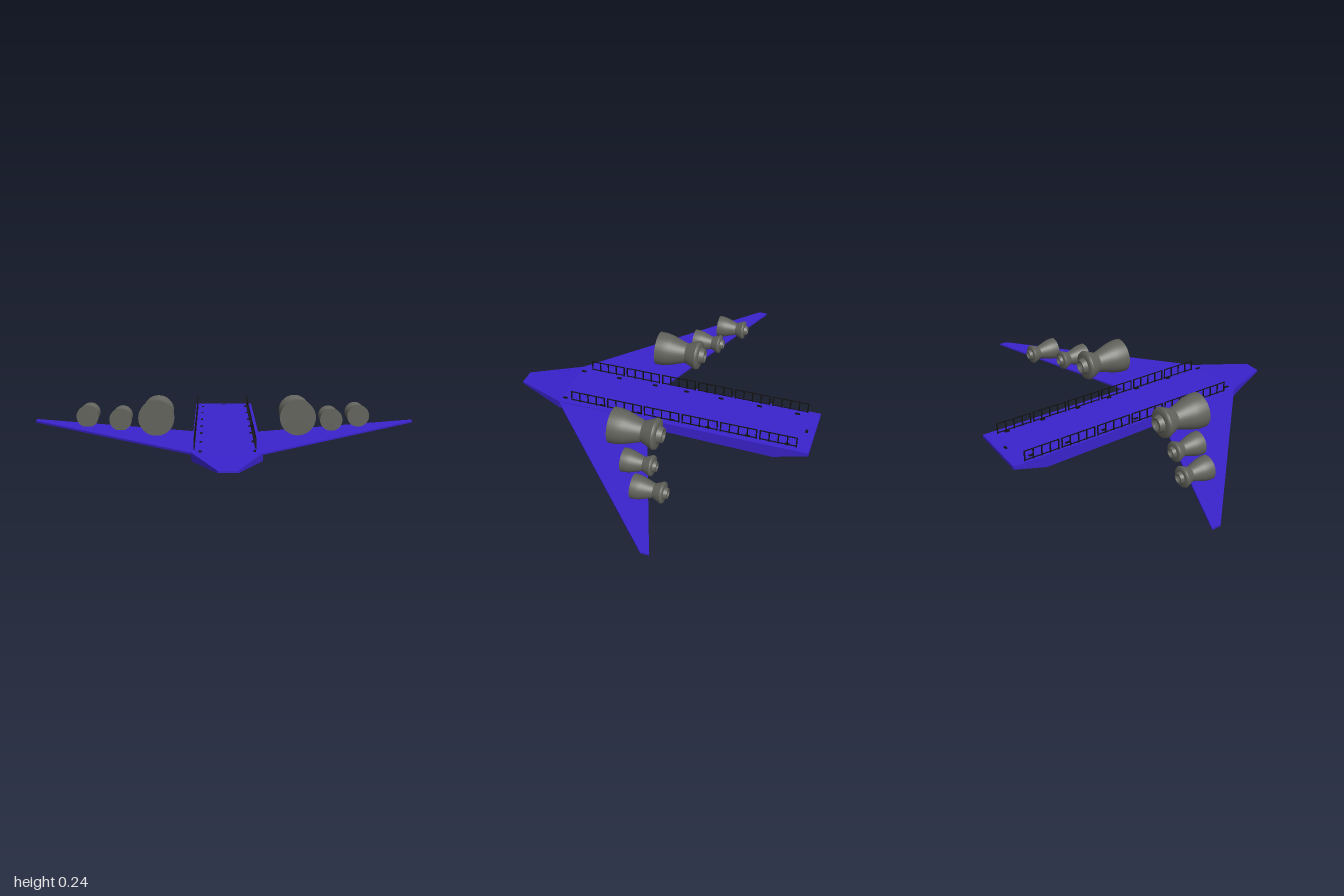
import * as THREE from 'three';

const blue = new THREE.MeshStandardMaterial({ color: 0x3a22cc });
const grey = new THREE.MeshStandardMaterial({ color: 0x62625c });
const black = new THREE.MeshStandardMaterial({ color: 0x111111 });

function add(parent, name, geometry, material, x = 0, y = 0, z = 0) {
  const mesh = new THREE.Mesh(geometry, material);
  mesh.name = name;
  mesh.position.set(x, y, z);
  parent.add(mesh);
  return mesh;
}

// Faceted hull lofted front to back through [z, x0, x1, y0, y1] rectangles
function loftGeometry(sections) {
  const rings = sections.map(([z, x0, x1, y0, y1]) =>
    [[x0, y0, z], [x1, y0, z], [x1, y1, z], [x0, y1, z]]);
  const pos = [];
  const quad = (a, b, c, d) => pos.push(...a, ...b, ...c, ...a, ...c, ...d);
  for (let s = 0; s < rings.length - 1; s++) {
    for (let i = 0; i < 4; i++) {
      const j = (i + 1) % 4;
      quad(rings[s][i], rings[s + 1][i], rings[s + 1][j], rings[s][j]);
    }
  }
  quad(...rings[0]);
  quad(...rings[rings.length - 1].slice().reverse());
  const g = new THREE.BufferGeometry();
  g.setAttribute('position', new THREE.Float32BufferAttribute(pos, 3));
  g.computeVertexNormals();
  return g;
}

// Thin swept wing from an [x, z] outline
function wingGeometry(outline, thickness) {
  const shape = new THREE.Shape(outline.map(([x, z]) => new THREE.Vector2(x, -z)));
  return new THREE.ExtrudeGeometry(shape, { depth: thickness, bevelEnabled: false })
    .rotateX(-Math.PI / 2);
}

// Waisted engine: [radius, distance behind the face], each band with its own sharp edges
const engineBands = [
  [[0, 0], [0.088, 0]],
  [[0.088, 0], [0.087, 0.035], [0.08, 0.07], [0.052, 0.155]],
  [[0.052, 0.155], [0.078, 0.215]],
  [[0.078, 0.215], [0.072, 0.229], [0.044, 0.23]],
  [[0.044, 0.23], [0.036, 0.255]],
  [[0.036, 0.255], [0.026, 0.255], [0.022, 0.235], [0, 0.235]],
];
function makeEngine(x, y, z, scale) {
  const engine = new THREE.Group();
  engine.name = 'engine';
  const names = ['face', 'body', 'flare', 'shoulder', 'nozzle', 'nozzleMouth'];
  engineBands.forEach((band, i) => {
    const g = new THREE.LatheGeometry(band.map(([r, d]) => new THREE.Vector2(r, d)), 32);
    g.rotateX(-Math.PI / 2);
    add(engine, names[i], g, engineMaterial);
  });
  engine.position.set(x, y, z);
  engine.scale.setScalar(scale);
  return engine;
}
const engineMaterial = grey.clone();
engineMaterial.side = THREE.DoubleSide;

// Railing in six panels of five posts
function makeRailing(x) {
  const railing = new THREE.Group();
  railing.name = 'railing';
  for (let k = 0; k < 6; k++) {
    const front = 0.45 - k * 0.1955;
    for (let j = 0; j < 5; j++) {
      add(railing, 'post', new THREE.BoxGeometry(0.004, 0.055, 0.006), black, x, 0.0925, front - j * 0.0445);
    }
    for (const y of [0.071, 0.12]) {
      add(railing, 'rail', new THREE.BoxGeometry(0.004, 0.004, 0.184), black, x, y, front - 0.089);
    }
  }
  return railing;
}

export function createModel() {
  const model = new THREE.Group();
  model.name = 'flyingDeck';

  // Hull with tapered nose and raked stern
  add(model, 'hull', loftGeometry([
    [0.77, -0.04, 0.048, 0.038, 0.048],
    [0.51, -0.157, 0.165, 0.027, 0.066],
    [-0.6, -0.157, 0.165, 0, 0.066],
    [-0.77, -0.157, 0.165, 0.05, 0.066],
  ]), blue);

  // Swept wings
  add(model, 'leftWing', wingGeometry(
    [[0.1, 0.02], [0.1, 0.51], [0.165, 0.51], [1, -0.23], [1, -0.27], [0.165, 0.035]], 0.008), blue, 0, 0.055, 0);
  add(model, 'rightWing', wingGeometry(
    [[-0.1, 0.02], [-0.157, 0.035], [-1, -0.295], [-1, -0.25], [-0.157, 0.51], [-0.1, 0.51]], 0.01), blue, 0, 0.056, 0);

  // Engines resting on the wings: x, y, front z, scale
  for (const e of [
    [0.355, 0.153, 0.14, 1], [0.535, 0.118, -0.015 + 0.033, 0.64], [0.687, 0.118, -0.085, 0.64],
    [-0.335, 0.153, 0.143, 1], [-0.524, 0.118, 0, 0.64], [-0.702, 0.118, -0.088, 0.64],
  ]) model.add(makeEngine(...e));

  // Deck railings
  model.add(makeRailing(-0.145), makeRailing(0.135));

  // Small deck lights along both edges and one at the stern
  for (const z of [-0.66, -0.465, -0.265, -0.08, 0.09, 0.29, 0.49]) {
    for (const x of [-0.118, 0.128]) {
      add(model, 'deckLight', new THREE.BoxGeometry(0.012, 0.004, 0.024), black, x, 0.067, z);
    }
  }
  add(model, 'sternLight', new THREE.BoxGeometry(0.022, 0.004, 0.012), black, 0.004, 0.067, -0.73);

  return model;
}
